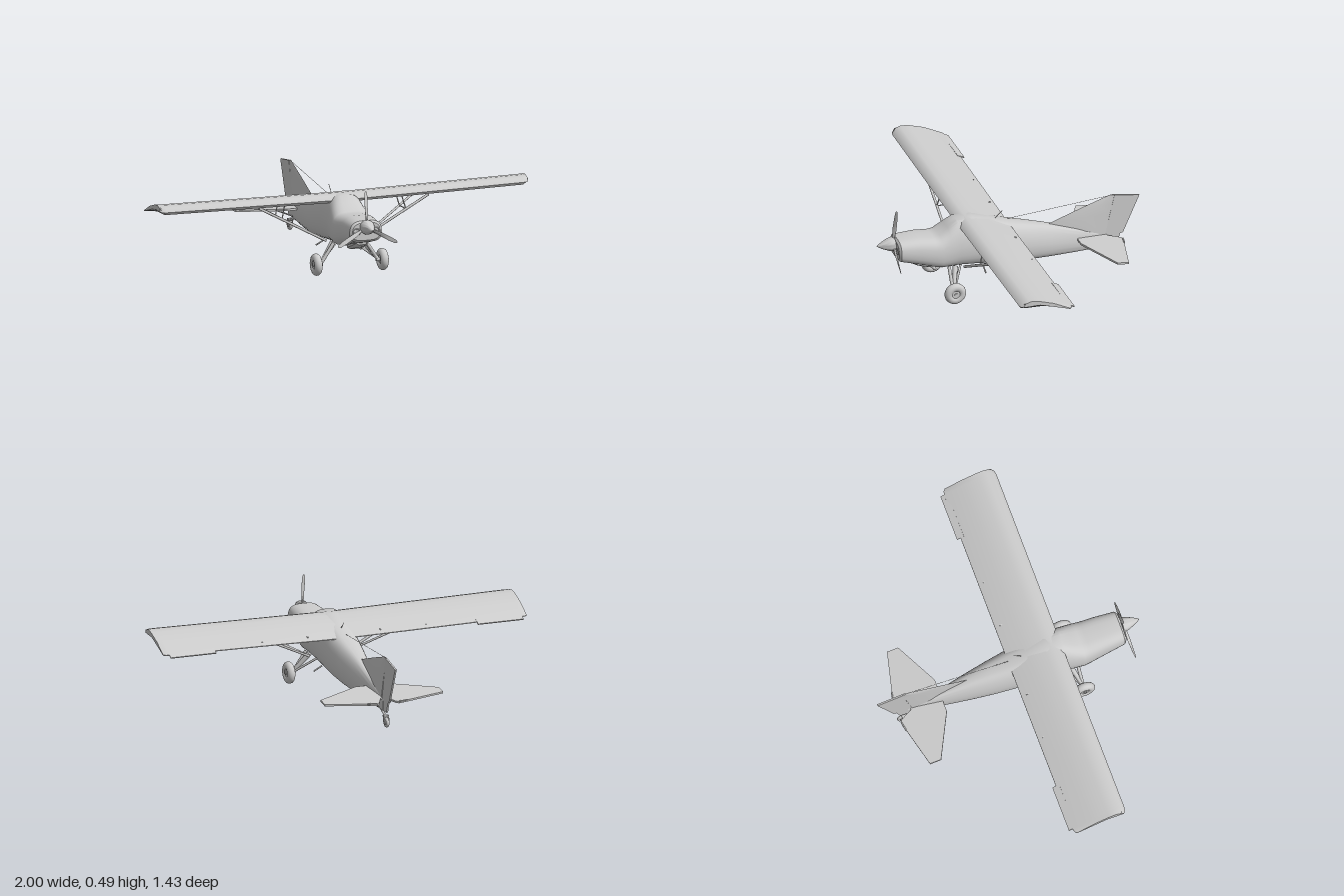
import * as THREE from 'three';
import { toCreasedNormals } from 'three/addons/utils/BufferGeometryUtils.js';

const V = (x, y, z) => new THREE.Vector3(x, y, z);

// Closed skin through a list of equal-length rings, capped at both ends
function loft(rings, crease = 0.6) {
  const n = rings[0].length, pts = rings.flat(), idx = [];
  for (let i = 0; i < rings.length - 1; i++) for (let j = 0; j < n; j++) {
    const a = i * n + j, b = i * n + (j + 1) % n;
    idx.push(a, b, a + n, b, b + n, a + n);
  }
  const cap = (ring, base, flip) => {
    const c = pts.length;
    pts.push(ring.reduce((s, p) => s.add(p), V(0, 0, 0)).divideScalar(n));
    for (let j = 0; j < n; j++) {
      const a = base + j, b = base + (j + 1) % n;
      idx.push(c, flip ? b : a, flip ? a : b);
    }
  };
  cap(rings[0], 0, true);
  cap(rings[rings.length - 1], (rings.length - 1) * n, false);
  // turn the faces outwards if the enclosed volume is negative
  let vol = 0;
  for (let i = 0; i < idx.length; i += 3)
    vol += pts[idx[i]].dot(V(0, 0, 0).crossVectors(pts[idx[i + 1]], pts[idx[i + 2]]));
  if (vol < 0) idx.reverse();
  const g = new THREE.BufferGeometry().setFromPoints(pts);
  g.setIndex(idx);
  return toCreasedNormals(g, crease);
}

// Flat plate from an outline, centred on its own plane
function plate(points, t) {
  const shape = new THREE.Shape(points.map(([a, b]) => new THREE.Vector2(a, b)));
  return new THREE.ExtrudeGeometry(shape, { depth: t, bevelEnabled: false }).translate(0, 0, -t / 2);
}

// Round rod between two points
function rod(a, b, r, r2 = r) {
  const d = b.clone().sub(a);
  const g = new THREE.CylinderGeometry(r2, r, d.length(), 10);
  g.applyQuaternion(new THREE.Quaternion().setFromUnitVectors(V(0, 1, 0), d.clone().normalize()));
  return g.translate(...a.clone().add(b).multiplyScalar(0.5).toArray());
}

export function createModel() {
  const model = new THREE.Group();
  const grey = new THREE.MeshStandardMaterial({ color: 0xcccccc });
  grey.name = 'light grey';
  const add = (name, geometry, parent = model) => {
    const m = new THREE.Mesh(geometry, grey);
    m.name = name;
    parent.add(m);
    return m;
  };

  // Fuselage: z, bottom, top, half width, narrowing towards the roof
  const stations = [
    [0.617, 0.24, 0.333, 0.076, 0.1], [0.607, 0.228, 0.343, 0.088, 0.1], [0.5, 0.195, 0.345, 0.099, 0.1],
    [0.42, 0.168, 0.335, 0.106, 0.1], [0.385, 0.16, 0.337, 0.11, 0.1], [0.34, 0.157, 0.37, 0.109, 0.18],
    [0.29, 0.154, 0.402, 0.106, 0.24], [0.2, 0.144, 0.402, 0.104, 0.24], [0.1, 0.131, 0.372, 0.101, 0.24],
    [0, 0.118, 0.338, 0.095, 0.25], [-0.1, 0.108, 0.31, 0.083, 0.3], [-0.22, 0.099, 0.275, 0.064, 0.35],
    [-0.37, 0.091, 0.222, 0.036, 0.35], [-0.5, 0.088, 0.172, 0.014, 0.2], [-0.55, 0.088, 0.15, 0.007, 0],
  ];
  const sPow = (v, e) => Math.sign(v) * Math.abs(v) ** e;
  add('fuselage', loft(stations.map(([z, yb, yt, w, narrow]) => {
    const ring = [];
    for (let i = 0; i < 32; i++) {
      const a = i / 32 * Math.PI * 2, s = sPow(Math.sin(a), 0.6);
      ring.push(V(w * sPow(Math.cos(a), 0.6) * (1 - narrow * Math.max(0, s)), (yb + yt) / 2 + s * (yt - yb) / 2, z));
    }
    return ring;
  })));

  // Air scoop, exhaust and cooling inlets on the cowling
  add('chinScoop', loft([[0.55, 0.2, 0.03], [0.5, 0.175, 0.045], [0.43, 0.15, 0.04], [0.405, 0.162, 0.03]].map(([z, y, w]) =>
    [V(-w, y + 0.05, z), V(-w, y + 0.01, z), V(-w * 0.6, y, z), V(w * 0.6, y, z), V(w, y + 0.01, z), V(w, y + 0.05, z)])));
  add('exhaustPipe', rod(V(0.04, 0.19, 0.45), V(0.04, 0.145, 0.41), 0.008));
  for (const s of [-1, 1]) {
    const inlet = add('coolingInlet', new THREE.TorusGeometry(0.018, 0.004, 8, 20));
    inlet.position.set(s * 0.053, 0.29, 0.617);
    inlet.scale.set(1, 0.75, 1);
  }

  // Wing: one section carried across the span, tips closing up to the top skin
  const section = [[0, 0.332], [0.1, 0.377], [0.19, 0.403], [0.235, 0.409], [0.268, 0.401], [0.285, 0.381],
    [0.276, 0.367], [0.24, 0.36], [0.15, 0.356], [0, 0.328]];
  const wingRing = (x, close, inset) => section.map(([z, y], i) => {
    const upper = i < 6 ? y : section[Math.max(0, 9 - i)][1] - 0.004;
    const zz = z + (0.14 - z) * inset;
    return V(x, y + (upper - y) * close - 0.006 + 0.012 * Math.abs(x), zz);
  });
  add('wing', loft([[-1, 0.9, 0.1], [-0.988, 0.45, 0.03], [-0.97, 0, 0], [-0.1, 0, 0], [0, 0, 0], [0.1, 0, 0],
    [0.97, 0, 0], [0.988, 0.45, 0.03], [1, 0.9, 0.1]].map((r) => wingRing(...r)), 0.7));

  for (const s of [-1, 1]) {
    const side = new THREE.Group();
    side.name = s > 0 ? 'leftSide' : 'rightSide';
    model.add(side);
    const P = (x, y, z) => V(s * x, y, z);

    // Aileron edge and flap hinge fairings
    const aileron = add('aileronEdge', new THREE.BoxGeometry(0.25, 0.006, 0.04), side);
    aileron.position.set(s * 0.845, 0.334, 0.0);
    aileron.rotation.x = -0.4;
    for (const x of [0.2, 0.45, 0.7]) {
      const hinge = add('flapHinge', new THREE.BoxGeometry(0.006, 0.018, 0.05), side);
      hinge.position.set(s * x, 0.337, 0.05);
    }

    // Lift struts with a jury brace
    const foot = P(0.098, 0.163, 0.27), front = P(0.46, 0.362, 0.265), rear = P(0.46, 0.355, 0.11);
    add('frontLiftStrut', rod(foot, front, 0.007), side);
    add('rearLiftStrut', rod(foot, rear, 0.006), side);
    const midF = foot.clone().lerp(front, 0.66), midR = foot.clone().lerp(rear, 0.66);
    add('juryStrut', rod(midF, P(0.32, 0.358, 0.255), 0.003), side);
    add('juryStrut', rod(midR, P(0.32, 0.355, 0.15), 0.003), side);
    add('juryStrut', rod(midF, midR, 0.003), side);

    // Main gear leg, brace, tyre and hub
    add('gearLeg', rod(P(0.08, 0.165, 0.315), P(0.155, 0.066, 0.35), 0.014, 0.01), side);
    add('gearBrace', rod(P(0.04, 0.155, 0.27), P(0.155, 0.066, 0.345), 0.006), side);
    add('shockStrut', rod(P(0.085, 0.17, 0.35), P(0.145, 0.08, 0.352), 0.009), side);
    add('axle', rod(P(0.145, 0.062, 0.35), P(0.2, 0.062, 0.35), 0.009), side);
    const tyre = add('mainTyre', new THREE.TorusGeometry(0.036, 0.0215, 14, 32).rotateY(Math.PI / 2), side);
    tyre.position.set(s * 0.18, 0.062, 0.35);
    const hub = add('wheelHub', new THREE.CylinderGeometry(0.026, 0.026, 0.03, 24).rotateZ(Math.PI / 2), side);
    hub.position.copy(tyre.position);

    // Tailplane half with its brace
    const stab = add('tailplane', plate([[0, -0.37], [s * 0.09, -0.37], [s * 0.325, -0.487], [s * 0.325, -0.548],
      [s * 0.06, -0.612], [s * 0.045, -0.6], [s * 0.015, -0.54], [0, -0.54]], 0.01).rotateX(Math.PI / 2), side);
    stab.rotation.x = -0.117;
    stab.position.y = 0.215;
    add('trimTab', rod(P(0.06, 0.149, -0.606), P(0.11, 0.15, -0.597), 0.004), side);
    for (const z of [-0.45, -0.5])
      add('tailBrace', rod(P(0.01, 0.1, -0.5), P(0.13, 0.157, z), 0.003), side);

    // Step below the door
    add('doorStep', rod(P(0.07, 0.14, 0.16), P(0.115, 0.115, 0.16), 0.004), side);
  }

  // Fin with dorsal fillet: height, leading z, trailing z, half thickness
  add('fin', loft([[0.14, -0.27, -0.525, 0.014], [0.275, -0.225, -0.555, 0.009], [0.33, -0.39, -0.57, 0.006],
    [0.38, -0.55, -0.58, 0.004]].map(([y, a, b, t]) => {
    const m = a + (b - a) * 0.6;
    return [V(0, y, a), V(t, y, m), V(t * 0.6, y, b), V(-t * 0.6, y, b), V(-t, y, m)];
  })));
  add('rudder', plate([[-0.58, 0.378], [-0.716, 0.355], [-0.626, 0.152], [-0.612, 0.15], [-0.59, 0.09], [-0.515, 0.088],
    [-0.53, 0.16]], 0.009).rotateY(-Math.PI / 2));

  // Tail wheel
  add('tailSpring', rod(V(0, 0.092, -0.5), V(0, 0.066, -0.565), 0.007, 0.006));
  add('tailYoke', new THREE.BoxGeometry(0.028, 0.008, 0.022)).position.set(0, 0.068, -0.572);
  for (const s of [-1, 1]) add('tailFork', rod(V(s * 0.013, 0.068, -0.572), V(s * 0.013, 0.036, -0.58), 0.004));
  const tailTyre = add('tailTyre', new THREE.TorusGeometry(0.018, 0.009, 12, 24).rotateY(Math.PI / 2));
  tailTyre.position.set(0, 0.036, -0.58);
  add('tailHub', new THREE.CylinderGeometry(0.012, 0.012, 0.022, 16).rotateZ(Math.PI / 2)).position.copy(tailTyre.position);

  // Spinner and three-bladed propeller
  const profile = [[0, 0], [0.037, 0], [0.037, 0.018], [0.032, 0.035], [0.02, 0.062], [0.008, 0.085], [0, 0.095]];
  const spinner = new THREE.LatheGeometry(profile.map(([r, y]) => new THREE.Vector2(r, y)), 28).rotateX(Math.PI / 2);
  add('spinner', toCreasedNormals(spinner, 0.7)).position.set(0, 0.312, 0.62);
  const propeller = new THREE.Group();
  propeller.name = 'propeller';
  propeller.position.set(0, 0.312, 0.627);
  propeller.rotation.x = -0.12;
  model.add(propeller);
  // radius, half chord, half thickness, twist
  const blade = loft([[0.01, 0.007, 0.007, 0], [0.04, 0.008, 0.006, 0.9], [0.08, 0.012, 0.004, 0.7],
    [0.14, 0.012, 0.003, 0.45], [0.175, 0.009, 0.002, 0.35], [0.185, 0.004, 0.001, 0.35]].map(([r, c, t, tw]) => {
    const ring = [];
    for (let i = 0; i < 12; i++) {
      const a = i / 12 * Math.PI * 2;
      ring.push(V(c * Math.cos(a), r, t * Math.sin(a)).applyAxisAngle(V(0, 1, 0), tw));
    }
    return ring;
  }), 1);
  for (let i = 0; i < 3; i++) add('propellerBlade', blade, propeller).rotation.z = i * Math.PI * 2 / 3;

  // Aerials
  add('wireAerial', rod(V(0, 0.345, 0.0), V(0, 0.378, -0.56), 0.001));
  add('whipAerial', rod(V(0, 0.35, 0.08), V(0, 0.398, 0.03), 0.0015));
  add('bellyAerial', rod(V(0, 0.115, -0.1), V(0, 0.095, -0.115), 0.003));
  return model;
}
